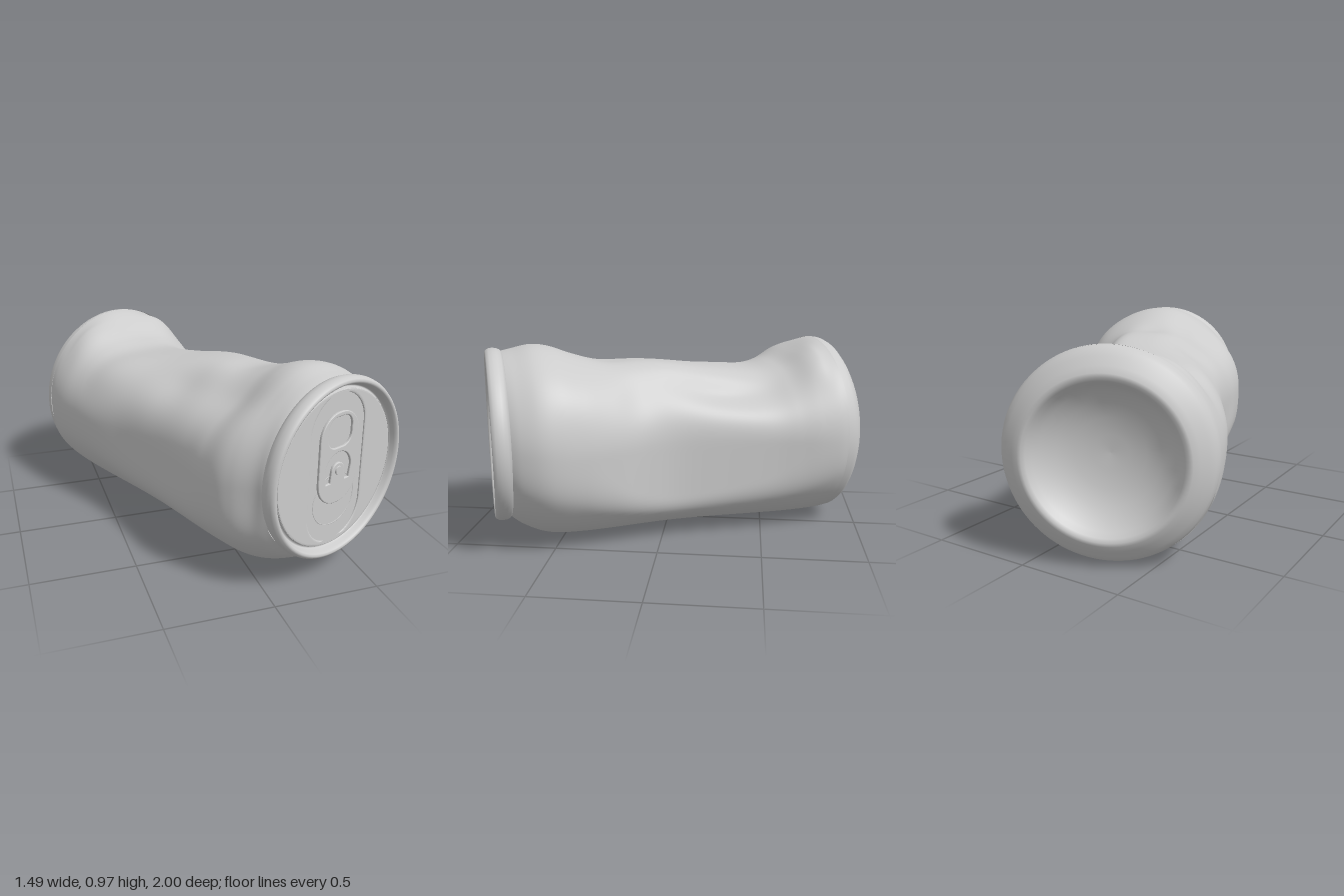
import * as THREE from 'three';

const material = new THREE.MeshStandardMaterial({ color: 0xcccccc, side: THREE.DoubleSide });

function part(parent, name, geometry, x = 0, y = 0, z = 0) {
  const mesh = new THREE.Mesh(geometry, material);
  mesh.name = name;
  mesh.position.set(x, y, z);
  parent.add(mesh);
  return mesh;
}

// Revolve a [radius, z] profile around the can's long axis
function revolve(points) {
  const profile = points.map(([r, z]) => new THREE.Vector2(r, z));
  return new THREE.LatheGeometry(profile, 96).rotateX(Math.PI / 2);
}

// Upright rounded rectangle, used for outlines and holes
function roundedRect(Kind, w, h, r, cx = 0, cy = 0) {
  const s = new Kind(), x = w / 2 - r, y = h / 2 - r;
  s.absarc(cx + x, cy + y, r, 0, Math.PI / 2);
  s.absarc(cx - x, cy + y, r, Math.PI / 2, Math.PI);
  s.absarc(cx - x, cy - y, r, Math.PI, Math.PI * 1.5);
  s.absarc(cx + x, cy - y, r, Math.PI * 1.5, Math.PI * 2);
  s.closePath();
  return s;
}

// Crushed wall stations: z, right width, left width, top, bottom
const STATIONS = [
  [-0.82, 0.472, 0.48, 0.957, 0.008],
  [-0.77, 0.482, 0.478, 0.94, 0.003],
  [-0.68, 0.492, 0.458, 0.89, 0],
  [-0.57, 0.49, 0.43, 0.84, 0],
  [-0.43, 0.481, 0.4, 0.808, 0.003],
  [-0.18, 0.43, 0.364, 0.835, 0.01],
  [0.03, 0.411, 0.347, 0.868, 0.012],
  [0.19, 0.41, 0.367, 0.885, 0.008],
  [0.36, 0.425, 0.415, 0.895, 0.002],
  [0.5, 0.45, 0.45, 0.925, 0],
  [0.62, 0.464, 0.474, 0.965, 0.006],
  [0.71, 0.44, 0.476, 0.973, 0.028],
  [0.8, 0.396, 0.45, 0.95, 0.075],
  [0.86, 0.385, 0.425, 0.935, 0.125]
];

// Dents and ridges: z, angle in degrees, z spread, angle spread, depth
const DENTS = [
  [0.12, 126, 0.2, 24, 0.045],
  [0.54, 125, 0.22, 24, 0.065],
  [-0.25, 46, 0.28, 18, 0.055],
  [-0.38, 128, 0.18, 22, -0.03],
  [-0.7, 62, 0.08, 16, -0.03],
  [-0.68, 120, 0.09, 20, -0.03],
  [-0.6, 85, 0.08, 16, 0.01],
  [0.05, 68, 0.22, 12, -0.015],
  [0.33, 88, 0.13, 12, 0.015],
  [0.55, 38, 0.16, 20, -0.018],
  [0.22, 38, 0.1, 20, 0.015]
];

const bell = (d, w) => Math.exp(-(d * d) / (w * w));

// Smaller of two lengths with a rounded change-over
function softMin(a, b) {
  const k = 0.045, h = Math.max(k - Math.abs(a - b), 0) / k;
  return Math.min(a, b) - h * h * k / 4;
}

function crushedWall() {
  const rows = 110, cols = 128, pos = [], index = [];
  // One spline for each station column, all sharing the same parameter
  const curves = [1, 2, 3, 4].map(k =>
    new THREE.CatmullRomCurve3(STATIONS.map(s => new THREE.Vector3(s[0], s[k], 0)), false, 'catmullrom', 0.5));
  for (let i = 0; i <= rows; i++) {
    const t = i / rows;
    const z = curves[0].getPoint(t).x;
    const [minus, plus, top, bottom] = curves.map(c => c.getPoint(t).y);
    const cy = 0.483 + 0.047 * THREE.MathUtils.smoothstep(z, 0.5, 0.86);
    const radius = cy - bottom;
    const box = 1 - 0.14 * bell(z + 0.1, 0.42);
    const fade = THREE.MathUtils.smoothstep(z, -0.82, -0.73) * (1 - THREE.MathUtils.smoothstep(z, 0.72, 0.86));
    for (let j = 0; j < cols; j++) {
      const a = j / cols * Math.PI * 2, c = Math.cos(a), s = Math.sin(a);
      const width = c > 0 ? plus : minus;
      // Squeezed upper half over a round underside with flattened flanks
      const x = Math.sign(c) * (s > 0
        ? Math.abs(c) ** box * softMin(radius, width)
        : softMin(radius * Math.abs(c), width));
      const y = s > 0 ? s ** box * (top - cy) : s * radius;
      let depth = 0;
      for (const [dz, deg, wz, wa, d] of DENTS) {
        let da = a * 180 / Math.PI - deg;
        if (da > 180) da -= 360;
        depth += d * bell(z - dz, wz) * bell(da, wa);
      }
      const k = 1 - fade * depth / Math.hypot(x, y);
      pos.push(x * k, cy + y * k, z);
      if (i < rows) {
        const p = i * cols + j, q = i * cols + (j + 1) % cols;
        index.push(p, q, p + cols, q, q + cols, p + cols);
      }
    }
  }
  const g = new THREE.BufferGeometry();
  g.setAttribute('position', new THREE.Float32BufferAttribute(pos, 3));
  g.setIndex(index);
  g.computeVertexNormals();
  return g;
}

export function createModel() {
  const model = new THREE.Group();
  model.name = 'crushedCan';
  const can = new THREE.Group();
  can.name = 'can';
  can.rotation.y = 0.377;
  model.add(can);

  part(can, 'wall', crushedWall());

  // Base: rounded shoulder, standing ring and concave dome
  part(can, 'base', revolve([
    [0, -0.78], [0.08, -0.784], [0.16, -0.798], [0.23, -0.822], [0.29, -0.86], [0.32, -0.892],
    [0.338, -0.918], [0.354, -0.929], [0.372, -0.927], [0.4, -0.911], [0.435, -0.887], [0.459, -0.866], [0.47, -0.845], [0.474, -0.81]
  ]), 0.003, 0.483, 0);

  const lid = new THREE.Group();
  lid.name = 'lid';
  lid.position.set(0.022, 0.53, 0);
  can.add(lid);

  // Rolled rim and the gutter inside it
  part(lid, 'rim', revolve([
    [0.39, 0.838], [0.405, 0.842], [0.418, 0.853], [0.425, 0.87], [0.427, 0.888], [0.424, 0.907], [0.416, 0.92],
    [0.406, 0.925], [0.397, 0.92], [0.391, 0.908], [0.387, 0.892], [0.382, 0.882], [0.376, 0.88], [0.371, 0.886], [0.368, 0.895]
  ]));

  // Panel with a long sunken bed
  const panel = new THREE.Shape().absarc(0, 0, 0.366, 0, Math.PI * 2);
  panel.holes.push(roundedRect(THREE.Path, 0.36, 0.72, 0.175));
  part(lid, 'panel', new THREE.ExtrudeGeometry(panel, {
    depth: 0.006, bevelThickness: 0.004, bevelSize: 0.01, bevelOffset: -0.005, bevelSegments: 3, curveSegments: 40
  }), 0, 0, 0.885);
  part(lid, 'panelBed', new THREE.CircleGeometry(0.366, 64), 0, 0, 0.887);

  // Score line of the mouth
  const score = part(lid, 'mouthScore', new THREE.TorusGeometry(0.135, 0.003, 6, 64), 0, -0.15, 0.886);
  score.scale.y = 0.93;

  // Pull tab with finger hole and arched cut-out
  const tab = roundedRect(THREE.Shape, 0.25, 0.435, 0.118, 0, 0.056);
  tab.holes.push(roundedRect(THREE.Path, 0.155, 0.145, 0.055, 0, 0.18));
  const arch = new THREE.Path();
  arch.absarc(0, 0, 0.085, 0, Math.PI);
  arch.lineTo(-0.075, -0.055);
  arch.lineTo(-0.048, -0.055);
  arch.absarc(0, -0.008, 0.042, Math.PI, 0, true);
  arch.lineTo(0.048, -0.055);
  arch.lineTo(0.075, -0.055);
  arch.closePath();
  tab.holes.push(arch);
  part(lid, 'pullTab', new THREE.ExtrudeGeometry(tab, {
    depth: 0.006, bevelThickness: 0.004, bevelSize: 0.005, bevelOffset: -0.005, bevelSegments: 3, curveSegments: 20
  }), 0, 0, 0.895);

  part(lid, 'rivet', new THREE.CylinderGeometry(0.02, 0.025, 0.022, 24).rotateX(Math.PI / 2), 0, -0.003, 0.9);

  return model;
}
